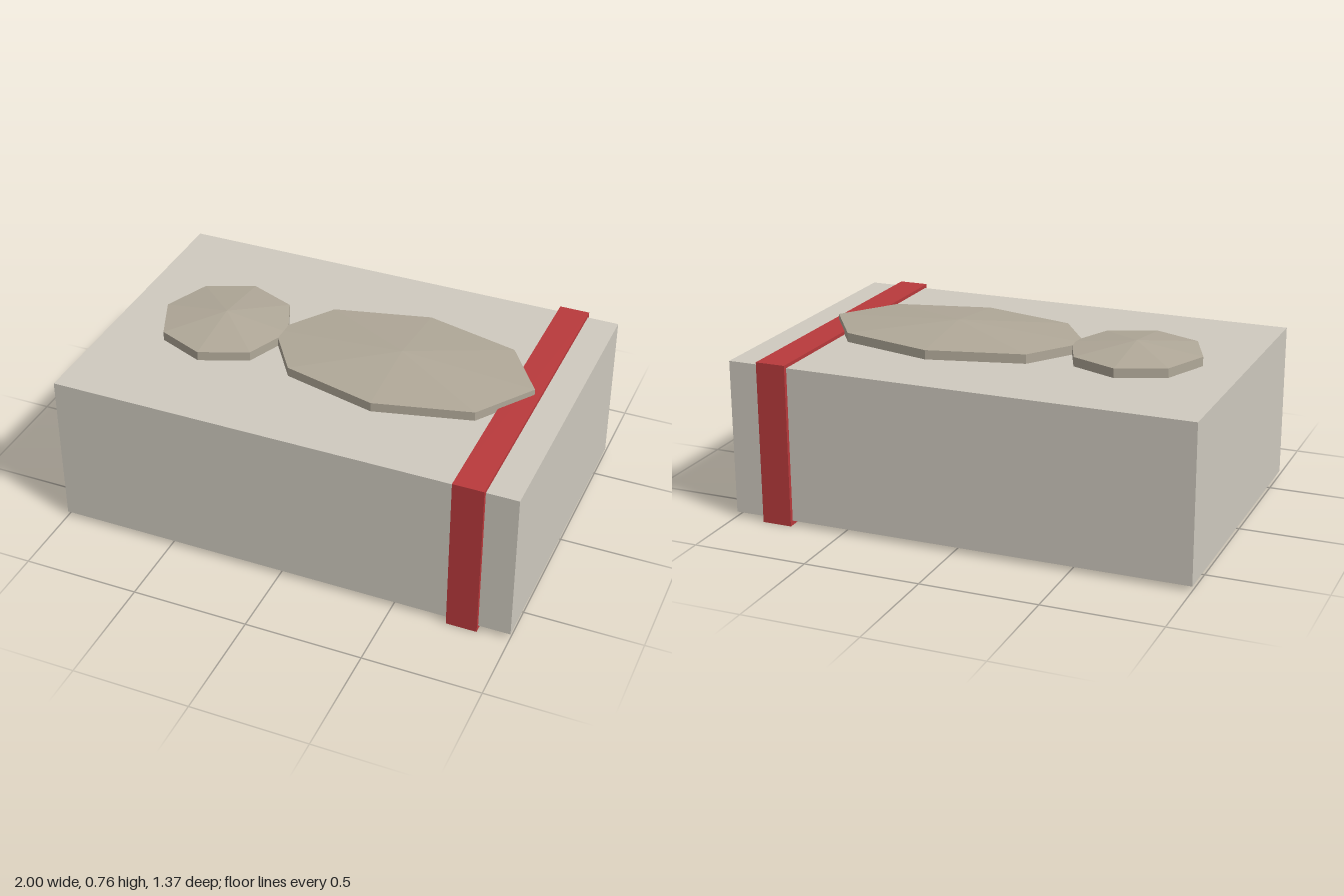
import * as THREE from 'three';

export function createModel() {
  const model = new THREE.Group();
  const paint = (color) => new THREE.MeshStandardMaterial({ color, flatShading: true });
  const stone = paint(0xcfcabf);
  const relief = paint(0xb0a898);
  const red = paint(0xb93a3c);

  const add = (name, geometry, material, x, y, z = 0) => {
    const mesh = new THREE.Mesh(geometry, material);
    mesh.name = name;
    mesh.position.set(x, y, z);
    model.add(mesh);
    return mesh;
  };

  // Main block
  const bottom = 0.02, top = 0.687;
  add('block', new THREE.BoxGeometry(2, top - bottom, 1.333), stone, 0, (bottom + top) / 2);

  // Band wrapped around the block near one end
  add('band', new THREE.BoxGeometry(0.13, 0.702, 1.367), red, 0.8, 0.351);

  // Low eight-sided relief: short vertical rim with a shallow faceted peak
  const profile = [[0, 0], [1, 0], [1, 0.04], [0, 0.078]].map(([r, y]) => new THREE.Vector2(r, y));
  const addRelief = (name, x, rx, rz) => {
    const geometry = new THREE.LatheGeometry(profile, 8).scale(rx, 1, rz);
    add(name, geometry, relief, x, top);
  };
  addRelief('smallRelief', -0.535, 0.285, 0.285);
  addRelief('largeRelief', 0.265, 0.575, 0.345);

  return model;
}
